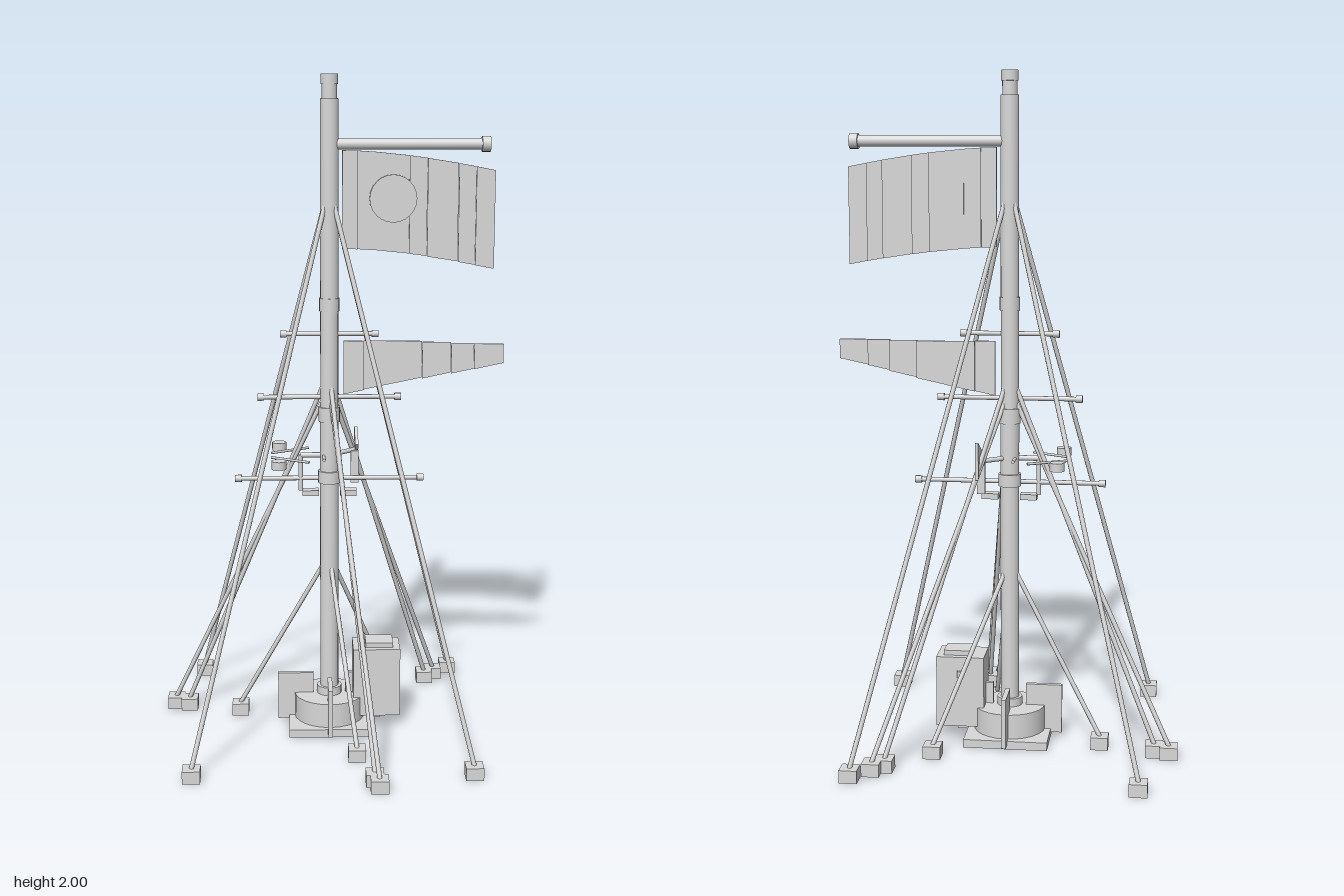
import * as THREE from 'three';

const MX = -0.003, MZ = -0.041; // mast axis

export function createModel() {
  const model = new THREE.Group();
  model.name = 'guyedMast';
  const grey = new THREE.MeshStandardMaterial({ color: 0xd8d8d8 });
  grey.name = 'light grey';

  const add = (name, geometry, x = 0, y = 0, z = 0) => {
    const mesh = new THREE.Mesh(geometry, grey);
    mesh.name = name;
    mesh.position.set(x, y, z);
    model.add(mesh);
    return mesh;
  };
  const box = (name, x0, x1, y0, y1, z0, z1) =>
    add(name, new THREE.BoxGeometry(x1 - x0, y1 - y0, z1 - z0), (x0 + x1) / 2, (y0 + y1) / 2, (z0 + z1) / 2);
  const drum = (name, r, y0, y1, x = MX, z = MZ, sides = 20) =>
    add(name, new THREE.CylinderGeometry(r, r, y1 - y0, sides), x, (y0 + y1) / 2, z);
  // Round bar between two points
  const bar = (name, a, b, r, sides = 10) => {
    const p = new THREE.Vector3(...a), d = new THREE.Vector3(...b).sub(p);
    const mesh = add(name, new THREE.CylinderGeometry(r, r, d.length(), sides));
    mesh.position.copy(p).addScaledVector(d, 0.5);
    mesh.quaternion.setFromUnitVectors(new THREE.Vector3(0, 1, 0), d.normalize());
    return mesh;
  };

  // Mast, collars and top cap
  drum('lowerMast', 0.028, 0.03, 1.0);
  drum('upperMast', 0.027, 1.0, 1.93);
  drum('mastTip', 0.022, 1.93, 1.97);
  drum('mastCap', 0.025, 1.97, 2.0);
  drum('jointCollar', 0.032, 0.975, 1.02);
  drum('bracketCollar', 0.034, 0.785, 0.822);
  drum('upperCollar', 0.03, 1.31, 1.35);

  // Base plate, drum and radial gussets
  box('basePlate', -0.129, 0.123, 0.005, 0.03, -0.167, 0.083);
  drum('baseDrum', 0.108, 0.03, 0.105, MX, MZ, 24);
  drum('mastSocket', 0.038, 0.1, 0.13);
  for (let i = 0; i < 4; i++) {
    const a = i * Math.PI / 2;
    const fin = add('baseGusset', new THREE.BoxGeometry(0.11, 0.15, 0.014),
      MX + Math.cos(a) * 0.105, 0.095, MZ + Math.sin(a) * 0.105);
    fin.rotation.y = -a;
  }

  // Equipment cabinet
  box('cabinet', 0.07, 0.215, 0.045, 0.262, -0.097, 0.013);
  box('cabinetLid', 0.109, 0.194, 0.262, 0.277, -0.078, -0.006);
  drum('cabinetKnob', 0.01, 0.2, 0.22, 0.142, -0.098, 12);

  // Guy wires, each ending in a footing block
  const guy = (x, z, y) => {
    bar('guyWire', [x, 0.04, z], [MX, y, MZ], 0.007, 8);
    box('footing', x - 0.026, x + 0.026, 0.005, 0.043, z - 0.026, z + 0.026);
  };
  for (const sx of [-1, 1]) for (const sz of [-1, 1]) guy(MX + sx * 0.41, MZ + sz * 0.41, 1.68);
  const levels = [[0.29, 0.555], [0.46, 1.13], [0.505, 1.08]];
  for (const deg of [75, 195, 315]) {
    const a = deg * Math.PI / 180;
    for (const [r, y] of levels) guy(MX + Math.cos(a) * r, MZ + Math.sin(a) * r, y);
  }

  // Cross bars with end knobs
  for (const [y, h] of [[1.242, 0.147], [1.05, 0.216], [0.798, 0.286]]) {
    bar('crossBar', [MX - h, y, MZ], [MX + h, y, MZ], 0.007);
    for (const s of [-1, 1])
      bar('crossBarKnob', [MX + s * (h - 0.02), y, MZ], [MX + s * h, y, MZ], 0.011);
  }

  // Flag boom
  bar('flagBoom', [MX, 1.8, MZ], [0.445, 1.8, MZ], 0.0165, 16);
  bar('boomCap', [0.442, 1.8, MZ], [0.467, 1.8, MZ], 0.023, 16);

  // Flags made of plates staggered in depth
  const flag = (name, xs, zs, top, bottom) => zs.forEach((z, i) => {
    const [a, b] = [xs[i], xs[i + 1]];
    const s = new THREE.Shape([
      new THREE.Vector2(a, bottom(a)), new THREE.Vector2(b, bottom(b)),
      new THREE.Vector2(b, top(b)), new THREE.Vector2(a, top(a))]);
    add(name, new THREE.ExtrudeGeometry(s, { depth: 0.006, bevelEnabled: false }), 0, 0, z - 0.003);
  });
  const drop = x => 0.055 * ((x - 0.035) / 0.44) ** 1.6;
  flag('flagPanel', [0.035, 0.08, 0.13, 0.233, 0.285, 0.375, 0.425, 0.48],
    [-0.045, -0.051, -0.054, -0.048, -0.034, -0.019, -0.011],
    x => 1.782 - drop(x), x => 1.495 - drop(x));
  flag('pennantPanel', [0.04, 0.1, 0.19, 0.275, 0.36, 0.428, 0.515],
    [-0.045, -0.053, -0.05, -0.034, -0.018, -0.01],
    x => 1.22 - 0.01 * x, x => 1.057 + 0.1 * (x - 0.04) / 0.475);
  const disc = add('flagDisc', new THREE.CylinderGeometry(0.07, 0.07, 0.009, 24), 0.185, 1.642, -0.043);
  disc.rotation.x = Math.PI / 2;

  // Sensor bracket with two round heads and swept arms
  bar('bracketArm', [MX, 0.87, MZ], [-0.09, 0.87, MZ], 0.008);
  bar('bracketPost', [-0.09, 0.76, MZ], [-0.09, 0.87, MZ], 0.007);
  box('lowerBracket', -0.085, -0.035, 0.745, 0.762, -0.058, -0.024);
  box('lowerBracket', 0.03, 0.08, 0.745, 0.762, -0.058, -0.024);
  for (const s of [-1, 1]) {
    drum('sensorHead', 0.022, 0.857, 0.882, -0.155, MZ + s * 0.118, 16);
    bar('sweptArm', [-0.178, 0.87, MZ + s * 0.028], [-0.065, 0.87, MZ + s * 0.092], 0.004, 8);
    bar('sensorRail', [-0.02, 0.87, MZ], [-0.02, 0.87, MZ + s * 0.068], 0.005, 8);
  }

  // Triangular antenna plate on a short arm
  const tri = new THREE.Shape([
    new THREE.Vector2(0.07, 0.895), new THREE.Vector2(0.148, 0.932), new THREE.Vector2(0.148, 0.82)]);
  const plate = add('antennaPlate', new THREE.ExtrudeGeometry(tri, { depth: 0.01, bevelEnabled: false }), 0.077, 0, 0);
  plate.rotation.y = Math.PI / 2;
  bar('antennaArm', [MX, 0.87, MZ], [0.08, 0.87, -0.11], 0.007);
  box('antennaMount', 0.064, 0.088, 0.77, 0.87, -0.1, -0.085);

  return model;
}
